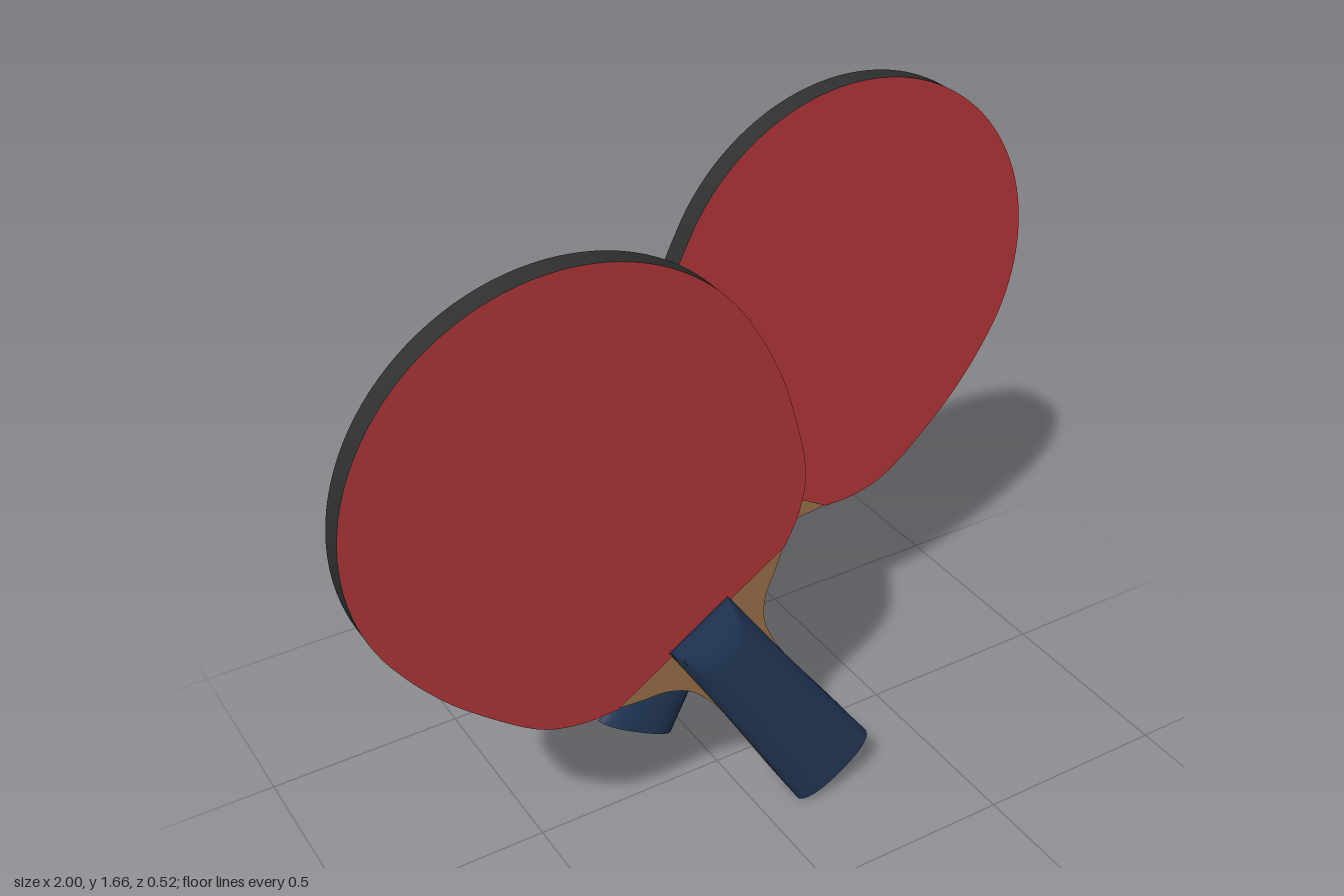
import * as THREE from 'three';
import { toCreasedNormals } from 'three/addons/utils/BufferGeometryUtils.js';

const material = (name, color) => {
  const m = new THREE.MeshStandardMaterial({ color });
  m.name = name;
  return m;
};
const red = material('red rubber', 0xb43739);
const black = material('black edge tape', 0x2f3030);
const wood = material('wood', 0x9c724a);
const navy = material('navy grip', 0x23395a);
const white = material('white ball', 0xe6e6e6);

// Paddle space: x across, y along the handle from its butt, z through the blade.
const HEAD_R = 0.508, HEAD_Y = 1.265, RUBBER_Y = 0.7;
const HEAD_T = 0.056, WOOD_T = 0.047;

const addMesh = (group, name, geometry, mat) => {
  const mesh = new THREE.Mesh(geometry, mat);
  mesh.name = name;
  group.add(mesh);
  return mesh;
};

const extrude = (points, depth) => {
  const g = new THREE.ExtrudeGeometry(new THREE.Shape(points), { depth, bevelEnabled: false });
  g.translate(0, 0, -depth / 2);
  return toCreasedNormals(g, 0.6);
};

// Mirror a right-hand outline (bottom to top) into a closed loop
const mirrored = (pts) => [
  ...pts,
  ...pts.slice().reverse().filter((p) => p.x > 1e-4).map((p) => new THREE.Vector2(-p.x, p.y)),
];

const spline = (pairs, n) =>
  new THREE.SplineCurve(pairs.map(([x, y]) => new THREE.Vector2(x, y))).getPoints(n);

// Rubber head: tapered lower sides under a round top
function headOutline() {
  const side = spline([[0.262, RUBBER_Y], [0.345, 0.755], [0.415, 0.845],
    [0.478, 1.03], [0.502, 1.16], [HEAD_R, HEAD_Y]], 28);
  for (let i = 1; i <= 28; i++) {
    const a = (i / 28) * Math.PI / 2;
    side.push(new THREE.Vector2(HEAD_R * Math.cos(a), HEAD_Y + HEAD_R * Math.sin(a)));
  }
  return mirrored(side);
}

// Wooden core: handle tongue and flared neck, ending inside the head
function coreOutline() {
  return mirrored([
    ...spline([[0.119, 0], [0.113, 0.15], [0.104, 0.32], [0.1, 0.45],
      [0.114, 0.555], [0.155, 0.62], [0.207, 0.658], [0.262, RUBBER_Y]], 36),
    new THREE.Vector2(0.25, 0.74),
  ]);
}

// Grip half: crowned cross-sections along the handle, cut by a sloping plane at the top
function gripGeometry() {
  const rows = 24, cols = 20, length = 0.715, height = 0.037;
  const position = [], index = [];
  for (let r = -1; r <= rows + 1; r++) {
    const k = THREE.MathUtils.clamp(r / rows, 0, 1);
    const y = k * length;
    const half = 0.092 + 0.028 * Math.pow(1 - k, 1.4);
    const bevel = 0.008 + (length - y) * 0.27;
    for (let c = 0; c <= cols; c++) {
      const t = -Math.cos((c / cols) * Math.PI);
      const crown = height * Math.sqrt(Math.max(0, 1 - Math.pow(Math.abs(t), 2.6)));
      const closed = r < 0 || r > rows;
      position.push(t * half, y, closed ? 0 : Math.min(crown, bevel));
    }
  }
  const w = cols + 1;
  for (let r = 0; r < rows + 2; r++) {
    for (let c = 0; c < cols; c++) {
      const a = r * w + c;
      index.push(a, a + 1, a + w + 1, a, a + w + 1, a + w);
    }
  }
  const g = new THREE.BufferGeometry();
  g.setAttribute('position', new THREE.Float32BufferAttribute(position, 3));
  g.setIndex(index);
  return toCreasedNormals(g, 0.5);
}

function createPaddle(name) {
  const paddle = new THREE.Group();
  paddle.name = name;
  // Red faces on both sides, black tape around the edge
  addMesh(paddle, 'rubberHead', extrude(headOutline(), HEAD_T), [red, black]);
  addMesh(paddle, 'woodenCore', extrude(coreOutline(), WOOD_T), wood);
  const grip = gripGeometry();
  for (const side of [1, -1]) {
    const half = addMesh(paddle, side > 0 ? 'frontGrip' : 'backGrip', grip, navy);
    half.position.z = side * WOOD_T / 2;
    if (side < 0) half.rotation.y = Math.PI;
  }
  return paddle;
}

export function createModel() {
  const model = new THREE.Group();
  model.name = 'crossedPaddlesAndBall';

  const front = createPaddle('frontPaddle');
  front.position.set(0.2, 0.072, 0.198);
  front.rotation.set(0.005, 0, THREE.MathUtils.degToRad(33));

  const back = createPaddle('backPaddle');
  back.position.set(-0.145, 0.068, -0.192);
  back.rotation.set(-0.013, 0, THREE.MathUtils.degToRad(-30.2));
  model.add(front, back);

  // Ball held between the two blades
  const ball = addMesh(model, 'ball', new THREE.SphereGeometry(0.111, 40, 28), white);
  ball.position.set(0, 1.18, -0.003);
  return model;
}
